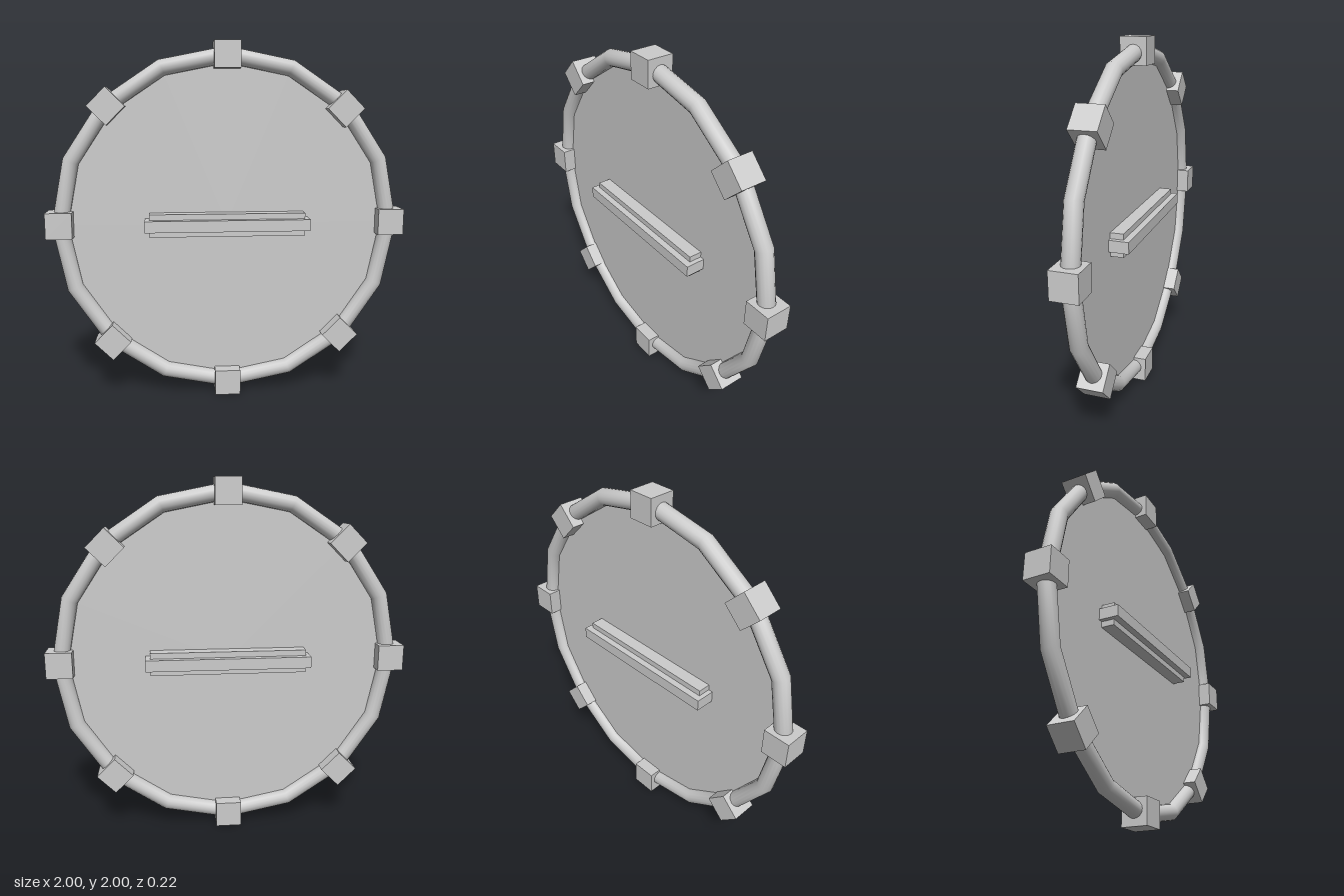
import * as THREE from 'three';

export function createModel() {
  const model = new THREE.Group();
  const grey = new THREE.MeshStandardMaterial({ color: 0xcccccc });
  const thin = new THREE.MeshStandardMaterial({ color: 0xcccccc, side: THREE.DoubleSide });

  function add(name, geometry, x, y, z, material = grey) {
    const mesh = new THREE.Mesh(geometry, material);
    mesh.name = name;
    mesh.position.set(x, y, z);
    model.add(mesh);
    return mesh;
  }

  // Sixteen-sided tubular rim
  add('rim', new THREE.TorusGeometry(0.93, 0.046, 16, 16), 0, 1, 0);

  // Thin panel filling the rim
  add('panel', new THREE.CircleGeometry(0.93, 16), 0, 1, 0, thin);

  // Crossbar through the centre: a deep bar and a taller, shallower one
  add('crossbarDeep', new THREE.BoxGeometry(0.92, 0.064, 0.216), 0, 1, 0);
  add('crossbarTall', new THREE.BoxGeometry(0.87, 0.128, 0.144), 0, 1, 0);

  // Cube studs on the rim: x, y, turn in eighths of a circle
  const studs = [
    [0.928, 1.005, 0], [0.654, 1.64, 1], [0, 1.928, 0], [-0.655, 1.653, 1],
    [-0.928, 1.005, 0], [-0.653, 0.333, 1], [0, 0.0725, 0], [0.652, 0.345, 1],
  ];
  const cube = new THREE.BoxGeometry(0.145, 0.145, 0.145);
  studs.forEach(([x, y, turn], i) => {
    add('stud' + (i + 1), cube, x, y, 0).rotation.z = turn * Math.PI / 4;
  });

  return model;
}
